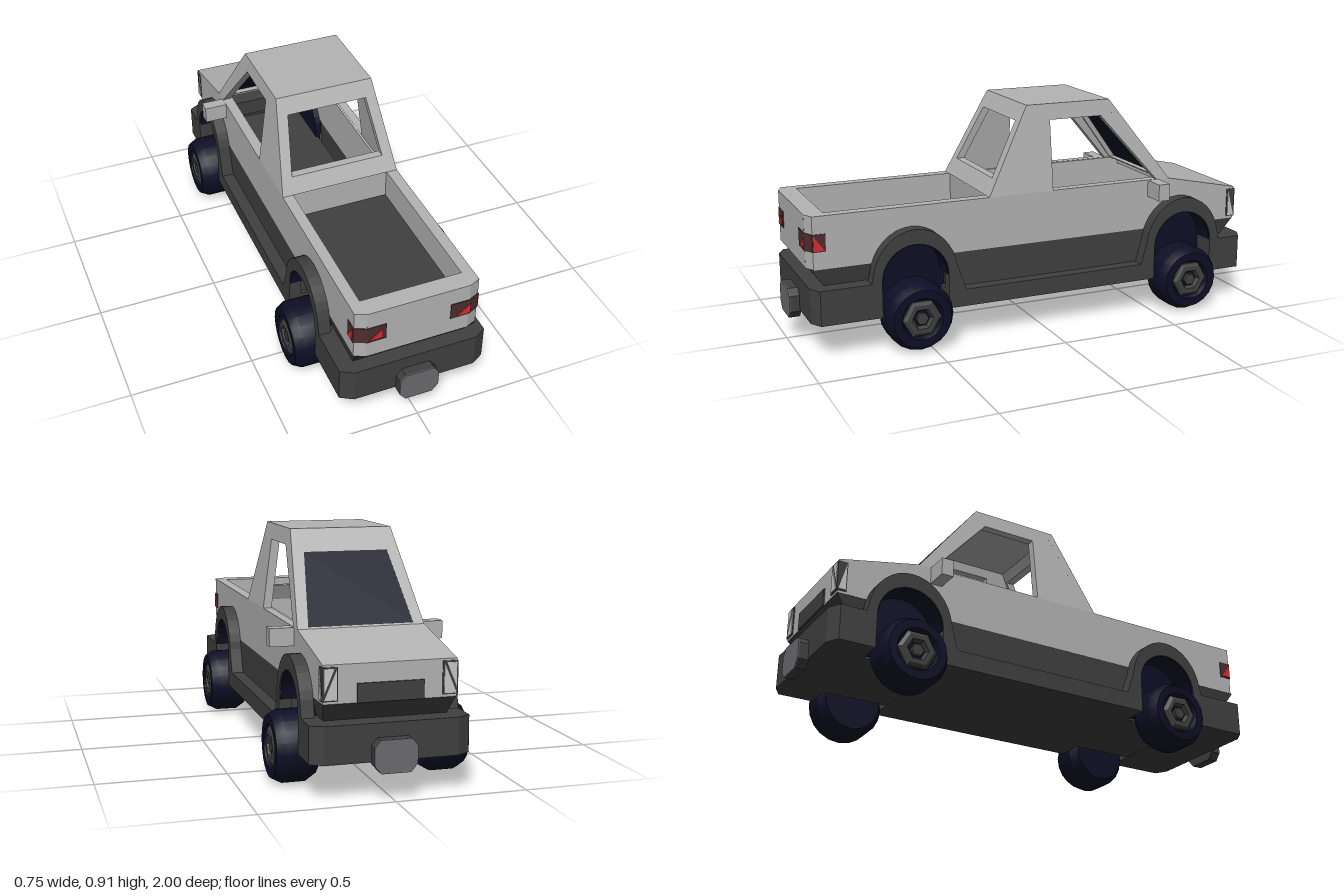
import * as THREE from 'three';
import { toCreasedNormals } from 'three/addons/utils/BufferGeometryUtils.js';

const mat = (name, color) => new THREE.MeshStandardMaterial({ name, color });

export function createModel() {
  const truck = new THREE.Group();
  truck.name = 'pickupTruck';
  const paint = mat('silver paint', 0xb4b4b4);
  const trim = mat('dark trim', 0x404040);
  const navy = mat('navy rubber and glass', 0x0e0e26);
  const steel = mat('mid grey', 0x6c6c6e);
  const red = mat('red lens', 0xdc2c30);
  const maroon = mat('dark red lamp', 0x4e2e2e);
  const lens = mat('pale lens', 0xc8c8c8);

  const add = (name, geo, material) => {
    const m = new THREE.Mesh(geo, material);
    m.name = name;
    truck.add(m);
    return m;
  };
  // Move every vertex by a rule, then refresh the flat normals
  const bend = (geo, rule) => {
    const g = geo.index ? geo.toNonIndexed() : geo;
    const p = g.attributes.position, v = new THREE.Vector3();
    for (let i = 0; i < p.count; i++) {
      rule(v.fromBufferAttribute(p, i));
      p.setXYZ(i, v.x, v.y, v.z);
    }
    g.computeVertexNormals();
    return g;
  };
  // Box given by its limits
  const box = (x0, x1, y0, y1, z0, z1) =>
    new THREE.BoxGeometry(x1 - x0, y1 - y0, z1 - z0)
      .translate((x0 + x1) / 2, (y0 + y1) / 2, (z0 + z1) / 2);
  const poly = (pts, hole) => {
    const s = new THREE.Shape(pts.map(p => new THREE.Vector2(...p)));
    if (hole) s.holes.push(new THREE.Path(hole.map(p => new THREE.Vector2(...p))));
    return s;
  };
  const extrude = (shape, depth) =>
    new THREE.ExtrudeGeometry(shape, { depth, bevelEnabled: false });
  // Profile in (z, y), extruded sideways between x0 and x1
  const across = (shape, x0, x1) =>
    extrude(shape, x1 - x0).rotateY(-Math.PI / 2).translate(x1, 0, 0);
  const onSide = (shape, s, inner, outer) =>
    s > 0 ? across(shape, inner, outer) : across(shape, -outer, -inner);
  const boxOnSide = (s, x0, x1, ...r) =>
    s > 0 ? box(x0, x1, ...r) : box(-x1, -x0, ...r);
  // Arch over an axle, running from +z to -z
  const arch = (cz, rx, ry, a = 0) => Array.from({ length: 17 }, (_, i) => {
    const t = a + (Math.PI - 2 * a) * i / 16;
    return [cz + rx * Math.cos(t), 0.28 + ry * Math.sin(t)];
  });
  const AXLES = [0.55, -0.65];

  // Body side, sill and flare profiles
  const bodySide = poly([[0.96, 0.35], ...arch(0.55, 0.15, 0.15, 0.486),
    ...arch(-0.65, 0.15, 0.15, 0.486), [-0.93, 0.35], [-0.93, 0.49], [-0.6, 0.56], [0.96, 0.56]]);
  const cabSide = poly([[0.22, 0.56], [0.04, 0.91], [-0.33, 0.91], [-0.6, 0.56]],
    [[-0.06, 0.561], [-0.06, 0.845], [-0.29, 0.845], [-0.54, 0.561]]);
  const opening = cz => [[cz + 0.137, 0.14], ...arch(cz, 0.137, 0.14), [cz - 0.137, 0.14]];
  const sill = poly([[0.96, 0.14], ...opening(0.55), ...opening(-0.65), [-0.96, 0.14],
    [-0.96, 0.28], [-0.83, 0.28], ...arch(-0.65, 0.175, 0.2, 0.15).reverse(), [-0.45, 0.21],
    [0.34, 0.21], ...arch(0.55, 0.175, 0.2, 0.15).reverse(), [0.73, 0.28], [0.96, 0.28]]);

  for (const s of [1, -1]) {
    add('bodySide', bend(onSide(bodySide, s, 0.205, 0.25), v => {
      if (Math.abs(v.x) > 0.24 && v.z > 0.95) v.z -= 0.02;
    }), paint);
    add('cabSide', bend(onSide(cabSide, s, 0.215, 0.25), v => {
      v.x -= s * (v.y - 0.56) * 0.129;
    }), paint);
    add('sillAndFlares', bend(onSide(sill, s, 0.25, 0.3), v => {
      if (Math.abs(v.x) > 0.29 && Math.abs(v.z) > 0.95) v.z *= 0.97;
    }), trim);
    add('lowerDoorTrim', boxOnSide(s, 0.205, 0.249, 0.2, 0.35, -0.5, 0.4), trim);
    add('mirror', boxOnSide(s, 0.24, 0.345, 0.49, 0.56, -0.55, -0.5), paint);

    for (const z of AXLES) {
      // Wheel well: back plate and arch lining
      add('wheelWell', onSide(poly([[z + 0.15, 0.15], ...arch(z, 0.15, 0.15), [z - 0.15, 0.15]]),
        s, 0.18, 0.2), navy);
      add('wellLining', onSide(poly([...arch(z, 0.145, 0.148), ...arch(z, 0.133, 0.136).reverse()]),
        s, 0.2, 0.295), navy);
      // Tyre and six-sided hub
      const profile = [[0, -0.08], [0.115, -0.08], [0.137, -0.045], [0.137, 0.045], [0.118, 0.08],
        [0.085, 0.08], [0.075, 0.06], [0, 0.06]].map(p => new THREE.Vector2(...p));
      const wheel = new THREE.Group();
      wheel.name = 'wheel';
      const tyre = new THREE.Mesh(toCreasedNormals(new THREE.LatheGeometry(profile, 20), 0.5), navy);
      tyre.name = 'tyre';
      const ringPts = [[0.04, 0.05], [0.08, 0.05], [0.08, 0.07], [0.065, 0.079], [0.045, 0.079], [0.035, 0.062]];
      const hub = new THREE.Mesh(toCreasedNormals(new THREE.LatheGeometry(
        ringPts.map(p => new THREE.Vector2(...p)), 6), 0.5), trim);
      hub.name = 'hub';
      const cap = new THREE.Mesh(new THREE.CylinderGeometry(0.025, 0.025, 0.03, 6).translate(0, 0.06, 0), trim);
      cap.name = 'hubCap';
      wheel.add(tyre, hub, cap);
      wheel.rotation.z = -s * Math.PI / 2;
      wheel.position.set(s * 0.293, 0.138, z);
      truck.add(wheel);
    }

    // Tail lamp wrapping round the rear corner
    add('tailLamp', boxOnSide(s, 0.13, 0.205, 0.42, 0.49, 0.959, 0.963), maroon);
    add('tailLampCorner', bend(boxOnSide(s, 0.205, 0.252, 0.42, 0.49, 0.959, 0.963), v => {
      v.z -= (Math.abs(v.x) - 0.205) * 0.44;
    }), maroon);
    add('tailLampSide', boxOnSide(s, 0.249, 0.253, 0.42, 0.49, 0.89, 0.941), maroon);
    const x = s > 0 ? 0.155 : -0.2;
    add('rearReflector', extrude(poly([[x, 0.43], [x + 0.055, 0.43], [x + 0.055, 0.472]]), 0.003)
      .translate(0, 0, 0.963), red);
    add('sideReflector', onSide(poly([[0.938, 0.425], [0.938, 0.485], [0.895, 0.425]]), s, 0.252, 0.256), red);

    // Headlamp with a front and a side face
    add('headlamp', boxOnSide(s, 0.195, 0.252, 0.36, 0.482, -0.934, -0.929), trim);
    add('headlampSide', boxOnSide(s, 0.249, 0.253, 0.36, 0.482, -0.934, -0.895), trim);
    add('headlampLens', extrude(poly([[s * 0.2, 0.365], [s * 0.247, 0.365], [s * 0.2, 0.475]]), 0.003)
      .translate(0, 0, -0.937), lens);
    add('headlampLens', extrude(poly([[s * 0.247, 0.385], [s * 0.247, 0.477], [s * 0.208, 0.477]]), 0.003)
      .translate(0, 0, -0.937), lens);
    add('headlampSideLens', onSide(poly([[-0.93, 0.365], [-0.9, 0.365], [-0.9, 0.475]]), s, 0.252, 0.256), lens);
  }

  // Sloping cab panel in (x, y), leaned back along z
  const leaning = (shape, depth, z0, slope) =>
    bend(extrude(shape, depth), v => { v.z += z0 + (v.y - 0.56) * slope; });
  const cabEnd = [[-0.25, 0.56], [0.25, 0.56], [0.205, 0.91], [-0.205, 0.91]];
  const rearHole = [[-0.197, 0.625], [0.197, 0.625], [0.168, 0.845], [-0.168, 0.845]];
  const frontHole = [[-0.207, 0.566], [0.207, 0.566], [0.168, 0.825], [-0.168, 0.825]];
  add('rearWindowFrame', leaning(poly(cabEnd, rearHole), 0.035, 0.185, -0.514), paint);
  add('windshieldFrame', leaning(poly(cabEnd, frontHole), 0.035, -0.6, 0.771), paint);
  add('windshield', leaning(poly(frontHole), 0.008, -0.599, 0.771), navy);
  add('roof', box(-0.205, 0.205, 0.885, 0.91, -0.33, 0.04), paint);

  // Hood, nose, grille
  add('hood', across(poly([[-0.6, 0.56], [-0.93, 0.49], [-0.93, 0.46], [-0.6, 0.53]]), -0.206, 0.206), paint);
  add('nose', box(-0.206, 0.206, 0.35, 0.485, -0.93, -0.89), paint);
  add('grille', box(-0.125, 0.125, 0.35, 0.42, -0.936, -0.929), trim);

  // Cargo bed
  add('tailgate', box(-0.206, 0.206, 0.35, 0.56, 0.885, 0.96), paint);
  add('cabBackWall', box(-0.206, 0.206, 0.21, 0.56, 0.19, 0.215), paint);
  add('bedFloor', box(-0.206, 0.206, 0.42, 0.44, 0.2, 0.9), trim);

  // Tapered skirts under the nose and tail
  const taper = v => {
    if (v.y < 0.3) {
      v.x *= 0.94;
      if (Math.abs(v.z) > 0.9) v.z -= Math.sign(v.z) * 0.05;
    }
  };
  add('rearSkirt', bend(box(-0.248, 0.248, 0.28, 0.351, 0.69, 0.95), taper), trim);
  add('frontSkirt', bend(box(-0.248, 0.248, 0.28, 0.351, -0.93, -0.79), taper), trim);

  // Underbody and bumpers
  add('chassis', box(-0.19, 0.19, 0.141, 0.27, -0.9, 0.9), trim);
  add('floorPan', box(-0.25, 0.25, 0.14, 0.21, -0.513, 0.413), trim);
  add('rearBumper', box(-0.25, 0.25, 0.14, 0.28, 0.687, 0.96), trim);
  add('frontBumper', box(-0.25, 0.25, 0.14, 0.28, -0.96, -0.787), trim);

  // Eight-sided blocks on both bumpers
  const block = poly([[-0.055, 0.105], [0.055, 0.105], [0.08, 0.135], [0.08, 0.2],
    [0.058, 0.227], [-0.058, 0.227], [-0.08, 0.2], [-0.08, 0.135]]);
  for (const s of [1, -1]) {
    add('bumperBlock', extrude(block, 0.041).translate(0, 0, s > 0 ? 0.955 : -0.996), trim);
    add('bumperBlockFace', extrude(block, 0.004).translate(0, 0, s > 0 ? 0.996 : -1), steel);
  }
  return truck;
}
